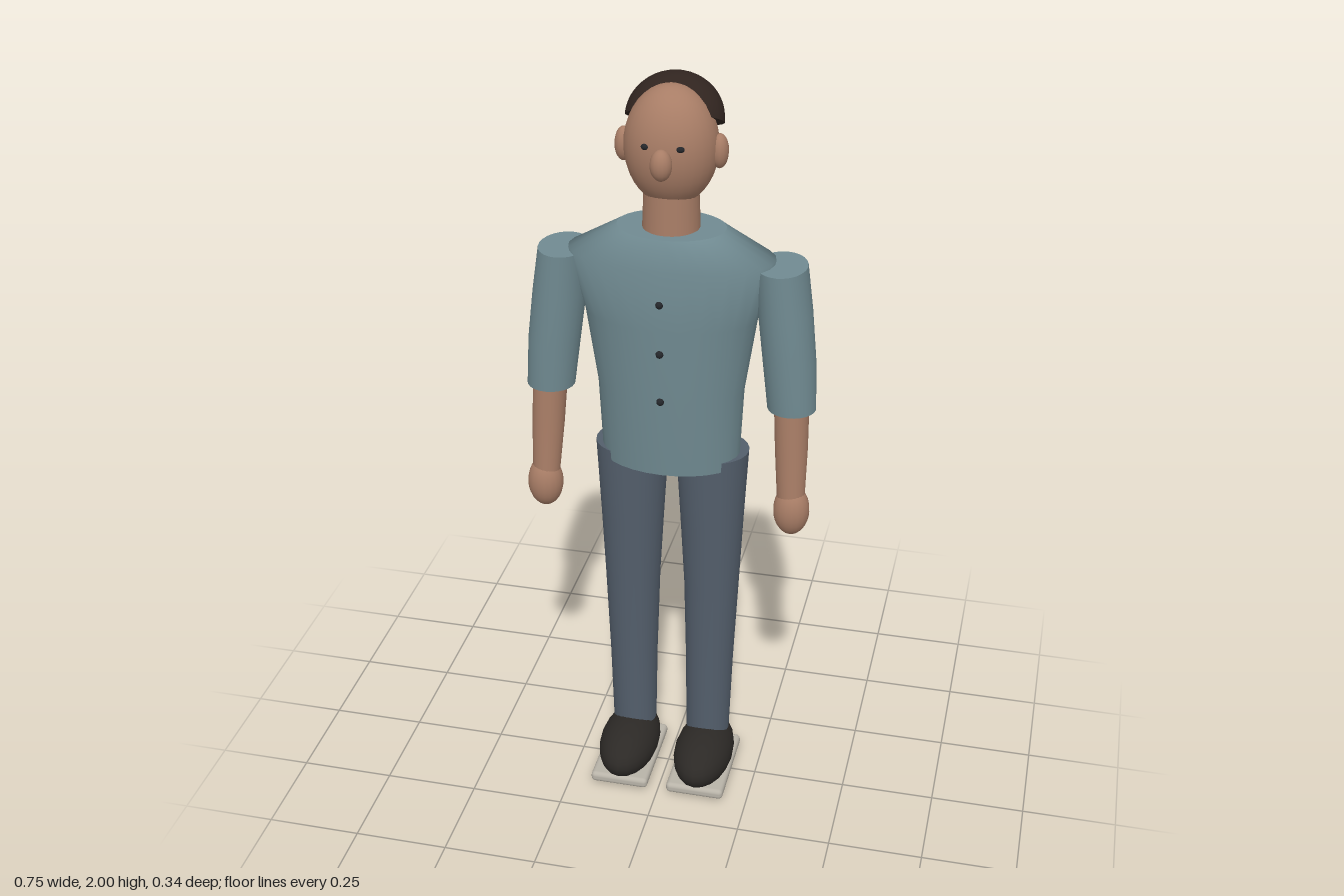
import * as THREE from 'three';
import { RoundedBoxGeometry } from 'three/addons/geometries/RoundedBoxGeometry.js';

const material = (color) => new THREE.MeshStandardMaterial({ color, side: THREE.DoubleSide });

// Skin over elliptical rings [y, centreX, centreZ, radiusX, radiusZ], bottom to top, with flat caps
function loft(rings, segments = 24) {
  const positions = [], indices = [];
  const addRing = ([y, cx, cz, rx, rz]) => {
    const start = positions.length / 3;
    for (let i = 0; i <= segments; i++) {
      const a = (i / segments) * Math.PI * 2;
      positions.push(cx + rx * Math.sin(a), y, cz + rz * Math.cos(a));
    }
    return start;
  };
  const starts = rings.map(addRing);
  for (let r = 0; r < rings.length - 1; r++) {
    for (let i = 0; i < segments; i++) {
      const a = starts[r] + i, b = starts[r + 1] + i;
      indices.push(a, a + 1, b, a + 1, b + 1, b);
    }
  }
  for (const [ring, up] of [[rings[0], false], [rings[rings.length - 1], true]]) {
    const start = addRing(ring), centre = positions.length / 3;
    positions.push(ring[1], ring[0], ring[2]);
    for (let i = 0; i < segments; i++) {
      const a = start + i;
      indices.push(centre, up ? a : a + 1, up ? a + 1 : a);
    }
  }
  const geometry = new THREE.BufferGeometry();
  geometry.setAttribute('position', new THREE.Float32BufferAttribute(positions, 3));
  geometry.setIndex(indices);
  geometry.computeVertexNormals();
  // Share the normal across the seam of each side ring
  const n = geometry.attributes.normal;
  for (const s of starts) {
    const e = s + segments;
    const v = new THREE.Vector3(n.getX(s) + n.getX(e), n.getY(s) + n.getY(e), n.getZ(s) + n.getZ(e)).normalize();
    n.setXYZ(s, v.x, v.y, v.z);
    n.setXYZ(e, v.x, v.y, v.z);
  }
  return geometry;
}

const ellipsoid = (rx, ry, rz, w = 24, h = 16) => new THREE.SphereGeometry(1, w, h).scale(rx, ry, rz);

export function createModel() {
  const model = new THREE.Group();
  const skin = material(0xa87d66);
  const shirt = material(0x708a91);
  const trousers = material(0x535e6b);
  const hairColor = material(0x30241f);
  const shoeColor = material(0x2c2926);
  const soleColor = material(0xb8b3a8);
  const dark = material(0x24262a);

  const add = (name, geometry, mat, x = 0, y = 0, z = 0, parent = model) => {
    const mesh = new THREE.Mesh(geometry, mat);
    mesh.name = name;
    mesh.position.set(x, y, z);
    parent.add(mesh);
    return mesh;
  };

  // Shirt body and its buttons
  add('shirtBody', loft([
    [0.985, 0, -0.033, 0.18, 0.113],
    [1.2, 0, -0.033, 0.19, 0.127],
    [1.4, 0, -0.032, 0.22, 0.134],
    [1.56, 0, -0.032, 0.262, 0.137],
    [1.63, 0, -0.032, 0.137, 0.1],
  ], 28), shirt);
  [[1.475, 0.102], [1.34, 0.1], [1.205, 0.094]].forEach(([y, z]) =>
    add('button', ellipsoid(0.01, 0.01, 0.01, 10, 8), dark, 0, y, z));

  // Neck and head
  add('neck', new THREE.CylinderGeometry(0.068, 0.073, 0.13, 24), skin, 0, 1.66, -0.03);
  add('head', ellipsoid(0.116, 0.15, 0.104, 28, 20), skin, 0, 1.838, -0.03);
  add('nose', ellipsoid(0.027, 0.039, 0.027, 16, 12), skin, 0, 1.826, 0.081);

  // Hair cap, tipped back so the forehead shows through
  const hair = add('hair', new THREE.SphereGeometry(1, 28, 12, 0, Math.PI * 2, 0, Math.PI / 2)
    .scale(0.122, 0.115, 0.08), hairColor, 0, 1.892, -0.064);
  hair.rotation.x = -0.53;
  const hairBase = add('hairBase', new THREE.CircleGeometry(1, 28).rotateX(Math.PI / 2)
    .scale(0.122, 1, 0.08), hairColor, 0, 1.892, -0.064);
  hairBase.rotation.x = -0.53;

  for (const s of [1, -1]) {
    const side = s > 0 ? 'left' : 'right';
    const part = (name, geometry, mat, x, y, z, parent) =>
      add(side + name, geometry, mat, s * x, y, z, parent);
    const tube = (name, rings, mat, parent) =>
      add(side + name, loft(rings.map(([y, x, ...rest]) => [y, s * x, ...rest])), mat, 0, 0, 0, parent);

    // Face details
    part('Ear', ellipsoid(0.022, 0.043, 0.027, 14, 12), skin, 0.118, 1.832, -0.03);
    part('Eye', ellipsoid(0.011, 0.008, 0.008, 10, 8), dark, 0.042, 1.862, 0.062);

    // Arm
    const arm = new THREE.Group();
    arm.name = side + 'Arm';
    model.add(arm);
    tube('Sleeve', [
      [1.17, 0.315, -0.017, 0.062, 0.06],
      [1.3, 0.304, -0.023, 0.067, 0.07],
      [1.43, 0.289, -0.03, 0.068, 0.078],
      [1.55, 0.276, -0.035, 0.064, 0.083],
    ], shirt, arm);
    tube('Forearm', [
      [0.93, 0.326, 0.017, 0.036, 0.035],
      [1.06, 0.321, 0.002, 0.042, 0.042],
      [1.2, 0.315, -0.012, 0.045, 0.049],
    ], skin, arm);
    part('Hand', ellipsoid(0.047, 0.07, 0.045, 18, 14), skin, 0.329, 0.892, 0.019, arm);

    // Leg and shoe
    const leg = new THREE.Group();
    leg.name = side + 'Leg';
    model.add(leg);
    tube('TrouserLeg', [
      [0.12, 0.105, -0.035, 0.06, 0.056],
      [0.35, 0.107, -0.039, 0.065, 0.063],
      [0.6, 0.109, -0.044, 0.074, 0.072],
      [0.8, 0.108, -0.045, 0.084, 0.081],
      [1.012, 0.107, -0.046, 0.096, 0.088],
    ], trousers, leg);
    part('Shoe', ellipsoid(0.081, 0.072, 0.148, 20, 14), shoeColor, 0.107, 0.072, 0.021, leg);
    part('Sole', new RoundedBoxGeometry(0.16, 0.03, 0.268, 3, 0.012), soleColor, 0.107, 0.026, 0.024, leg);
  }
  return model;
}
